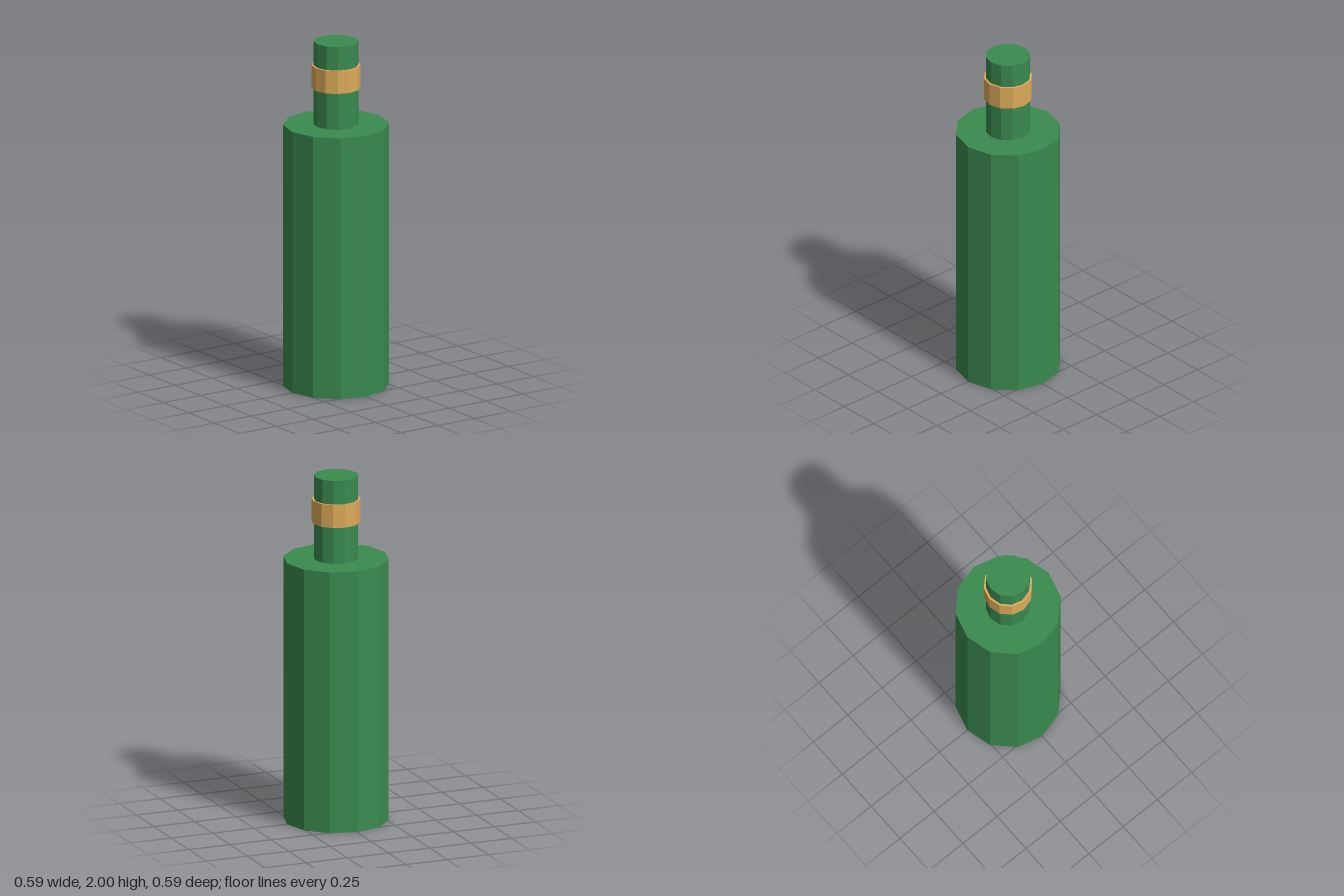
import * as THREE from 'three';

const SIDES = 12;

export function createModel() {
  const group = new THREE.Group();
  group.name = 'bottle';
  const glass = new THREE.MeshStandardMaterial({ color: 0x3a8a50, flatShading: true });
  const gold = new THREE.MeshStandardMaterial({ color: 0xdeaa5a, flatShading: true });

  // Closed twelve-sided cylinder spanning bottom to top
  function addCylinder(name, radius, bottom, top, material) {
    const mesh = new THREE.Mesh(
      new THREE.CylinderGeometry(radius, radius, top - bottom, SIDES),
      material
    );
    mesh.position.y = (bottom + top) / 2;
    mesh.name = name;
    group.add(mesh);
  }

  addCylinder('body', 0.297, 0, 1.518, glass);
  addCylinder('neck', 0.125, 1.518, 2, glass);
  addCylinder('neckBand', 0.137, 1.73, 1.863, gold);

  return group;
}
